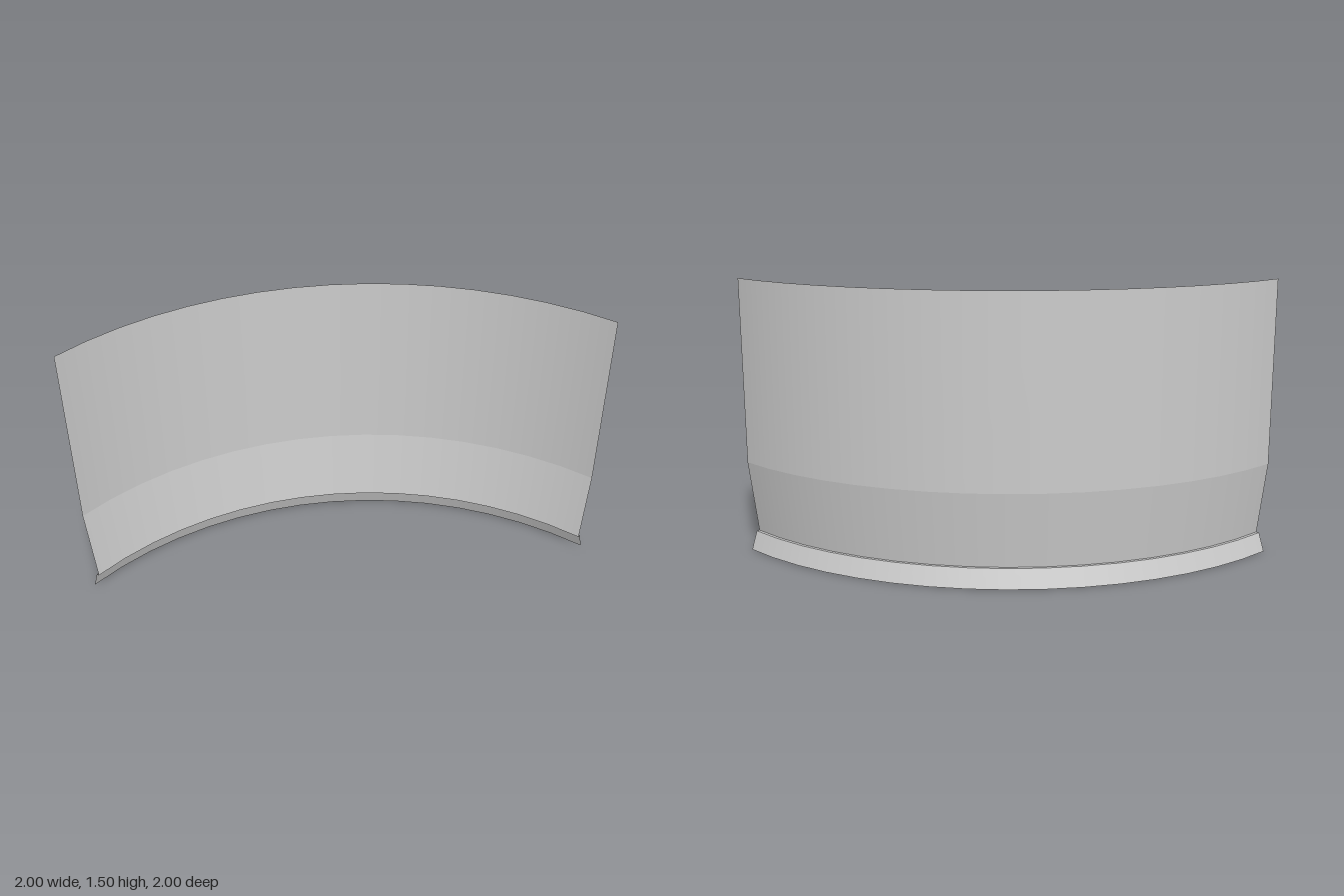
import * as THREE from 'three';

// Quarter-round wall panel: thin sheet swept about a vertical axis at (1, 1)
export function createModel() {
  const group = new THREE.Group();
  group.name = 'curvedWallPanel';
  const material = new THREE.MeshStandardMaterial({ color: 0xcccccc, side: THREE.DoubleSide });

  // Each band is its own sweep, so the creases between bands stay sharp
  const addBand = (name, r0, y0, r1, y1) => {
    const profile = [new THREE.Vector2(r0, y0), new THREE.Vector2(r1, y1)];
    const band = new THREE.Mesh(new THREE.LatheGeometry(profile, 16, Math.PI, Math.PI / 2), material);
    band.name = name;
    band.position.set(1, 0, 1);
    group.add(band);
  };

  addBand('baseSkirt', 2, 0, 1.965, 0.1);
  addBand('skirtLedge', 1.965, 0.1, 1.948, 0.1);
  addBand('lowerSlopedWall', 1.948, 0.1, 2, 0.5);
  addBand('upperWall', 2, 0.5, 2, 1.5);

  return group;
}
